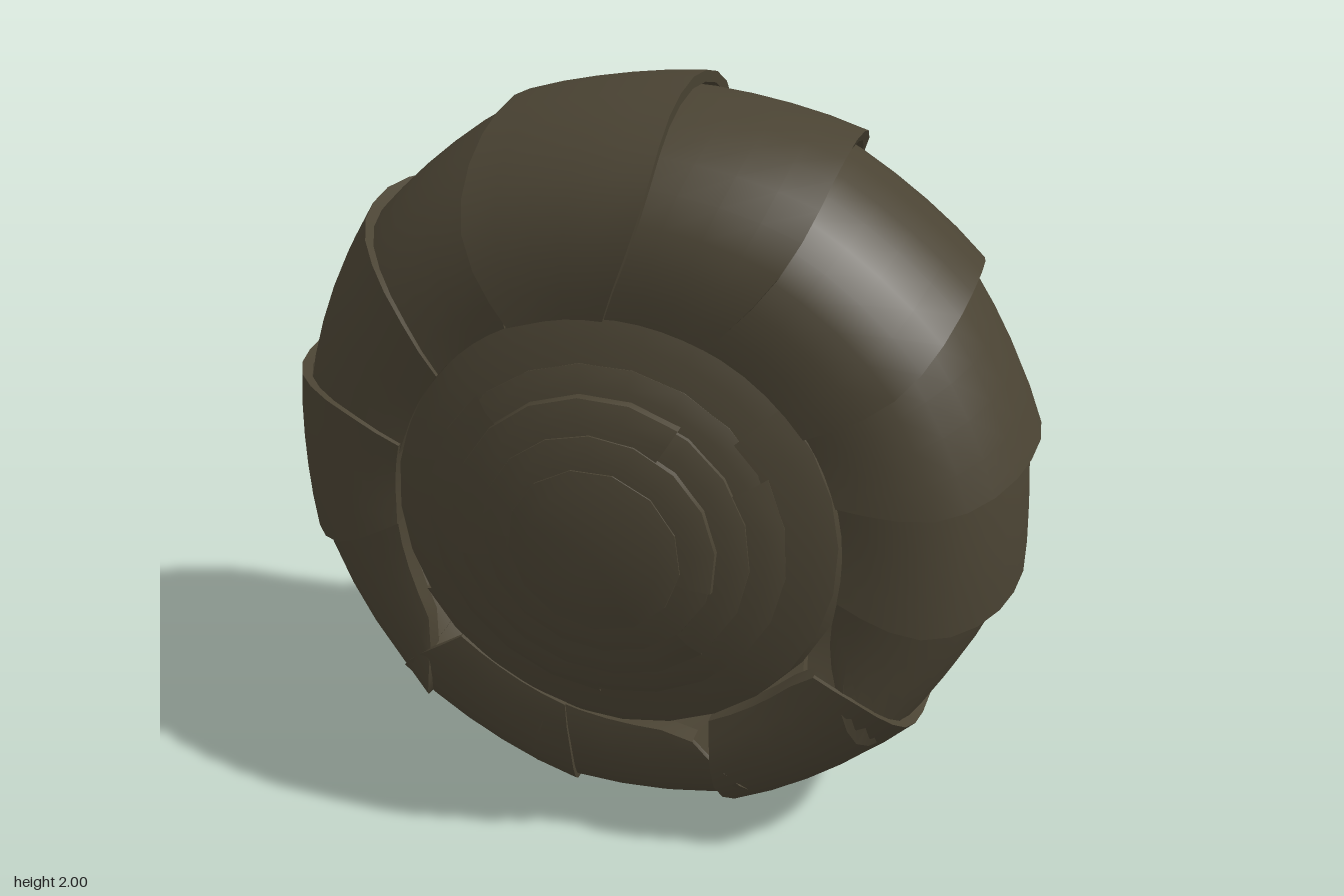
import * as THREE from 'three';
import { toCreasedNormals } from 'three/addons/utils/BufferGeometryUtils.js';

const shell = new THREE.MeshStandardMaterial({ color: 0x4a4333, side: THREE.DoubleSide });
shell.name = 'dark olive shell';

const CX = -0.01, CY = 0.97;
const rad = THREE.MathUtils.degToRad, lerp = THREE.MathUtils.lerp;

// Half of the U-shaped plate section: [depth from crown to inner edge, half width]
const half = [[0, 0], [0.025, 0.11], [0.08, 0.2], [0.18, 0.285], [0.31, 0.35], [0.47, 0.398],
  [0.66, 0.422], [0.84, 0.43], [1, 0.427], [1, 0.37]];
const section = [...half.slice(1).reverse().map(([d, z]) => [d, -z]), ...half];

// Curved armour plate swept about the wheel axis, with turned-in lips at both ends
function plateGeometry([a0, a1, r0, r1, b0, b1, i0, i1]) {
  const rows = [[0, 0.03], [0, 0], [0.2, 0], [0.4, 0], [0.6, 0], [0.8, 0], [1, 0], [1, 0.03]];
  const pos = [], index = [], n = section.length;
  for (const [u, inset] of rows) {
    // The crown is flatter than a full arc, and the inner corner is clipped where the radii differ
    const R = lerp(r0, r1, u) - inset - 0.013 * Math.sin(Math.PI * u);
    const ri = lerp(i0, i1, Math.pow(u, i1 > i0 ? 3 : 1 / 3));
    for (const [d, z] of section) {
      // Both end edges bow outwards halfway down the side
      const bow = (1 - 2 * u) * 3 * Math.sin(Math.PI * d);
      const a = rad(lerp(lerp(a0, a1, u), lerp(b0, b1, u), d) + bow);
      const r = lerp(R, ri, d);
      pos.push(CX + r * Math.cos(a), CY + r * Math.sin(a), z * R);
    }
  }
  for (let i = 0; i < rows.length - 1; i++) {
    for (let j = 0; j < n - 1; j++) {
      const p = i * n + j, q = p + n;
      index.push(p, p + 1, q, q, p + 1, q + 1);
    }
  }
  const g = new THREE.BufferGeometry();
  g.setAttribute('position', new THREE.Float32BufferAttribute(pos, 3));
  g.setIndex(index);
  return toCreasedNormals(g, 0.5);
}

// Start/end angle at the crown, crown radii, start/end angle at the inner edge, inner radii
const plates = [
  [112, 85.5, 1.022, 1.033, 116, 91, 0.57, 0.56],
  [90, 62, 0.995, 1.03, 94, 65, 0.56, 0.57],
  [66, 37.3, 0.985, 1.008, 68, 34, 0.56, 0.57],
  [41, 11, 0.97, 1.0, 37, 15, 0.57, 0.575],
  [15, -11, 0.97, 0.992, 19, -11, 0.575, 0.58],
  [-8, -41, 0.972, 0.95, -8, -34, 0.58, 0.7],
  [-38.7, -71, 0.978, 0.988, -33, -64, 0.62, 0.58],
  [-67, -104, 0.962, 0.978, -71, -107, 0.64, 0.57],
  [-101, -134.6, 0.986, 0.978, -104, -137, 0.57, 0.58],
  [-131, -170, 0.955, 0.968, -138, -173, 0.7, 0.59],
  [-167.7, -193.3, 0.982, 0.998, -172, -195, 0.59, 0.58],
  [170, 138, 0.965, 1.006, 168, 141, 0.58, 0.57],
  [142, 112, 0.98, 1.005, 143, 117, 0.57, 0.57],
];

// Stepped tiers of the coiled side discs: [radius, height] from inside to outside, sides
const tiers = [
  { name: 'centreCap', sides: 13, arcs: 1, pts: [[0, 0.556], [0.17, 0.55], [0.22, 0.537], [0.225, 0.51]] },
  { name: 'innerCoil', sides: 17, arcs: 2, pts: [[0.16, 0.536], [0.25, 0.533], [0.3, 0.515], [0.305, 0.49]] },
  { name: 'middleCoil', sides: 20, arcs: 3, pts: [[0.25, 0.516], [0.34, 0.508], [0.385, 0.488], [0.39, 0.46]] },
  { name: 'outerCoil', sides: 24, arcs: 3, pts: [[0.33, 0.487], [0.42, 0.475], [0.465, 0.45], [0.47, 0.42]] },
  { name: 'rimCoil', sides: 30, arcs: 2, pts: [[0.42, 0.453], [0.52, 0.432], [0.575, 0.405], [0.597, 0.34]] },
];

function lathe(pts, sides, start = 0, length = Math.PI * 2) {
  const g = new THREE.LatheGeometry(pts.map(p => new THREE.Vector2(...p)), sides, start, length);
  g.rotateX(Math.PI / 2);
  return toCreasedNormals(g, 0.45);
}

function createSide(sideName) {
  const side = new THREE.Group();
  side.name = sideName;
  tiers.forEach(({ name, sides, arcs, pts }, t) => {
    const span = Math.PI * 2 / arcs;
    for (let k = 0; k < arcs; k++) {
      // Each arc winds over the next one by a short overlap
      const s = 1 - 0.012 * k;
      const moved = pts.map(([r, h]) => [r * s, h - 0.004 * k]);
      const arc = new THREE.Mesh(
        lathe(moved, Math.ceil(sides / arcs), t * 1.3 + k * span, arcs > 1 ? span + 0.25 : span), shell);
      arc.name = name;
      side.add(arc);
    }
  });
  return side;
}

export function createModel() {
  const model = new THREE.Group();
  model.name = 'rolledArmour';

  // Overlapping rim plates
  const rim = new THREE.Group();
  rim.name = 'rimPlates';
  plates.forEach((p, i) => {
    const mesh = new THREE.Mesh(plateGeometry(p), shell);
    mesh.name = 'rimPlate' + (i + 1);
    rim.add(mesh);
  });
  model.add(rim);

  // Solid hub with a coiled disc on each side
  const hub = new THREE.Group();
  hub.name = 'hub';
  hub.position.set(-0.02, 0.968, 0);
  const core = new THREE.Mesh(lathe([[0, -0.46], [0.3, -0.45], [0.45, -0.41], [0.56, -0.37], [0.592, -0.32],
    [0.592, 0.32], [0.56, 0.37], [0.45, 0.41], [0.3, 0.45], [0, 0.46]], 30), shell);
  core.name = 'hubCore';
  const back = createSide('backCoils');
  back.rotation.y = Math.PI;
  hub.add(core, createSide('frontCoils'), back);
  model.add(hub);

  return model;
}
